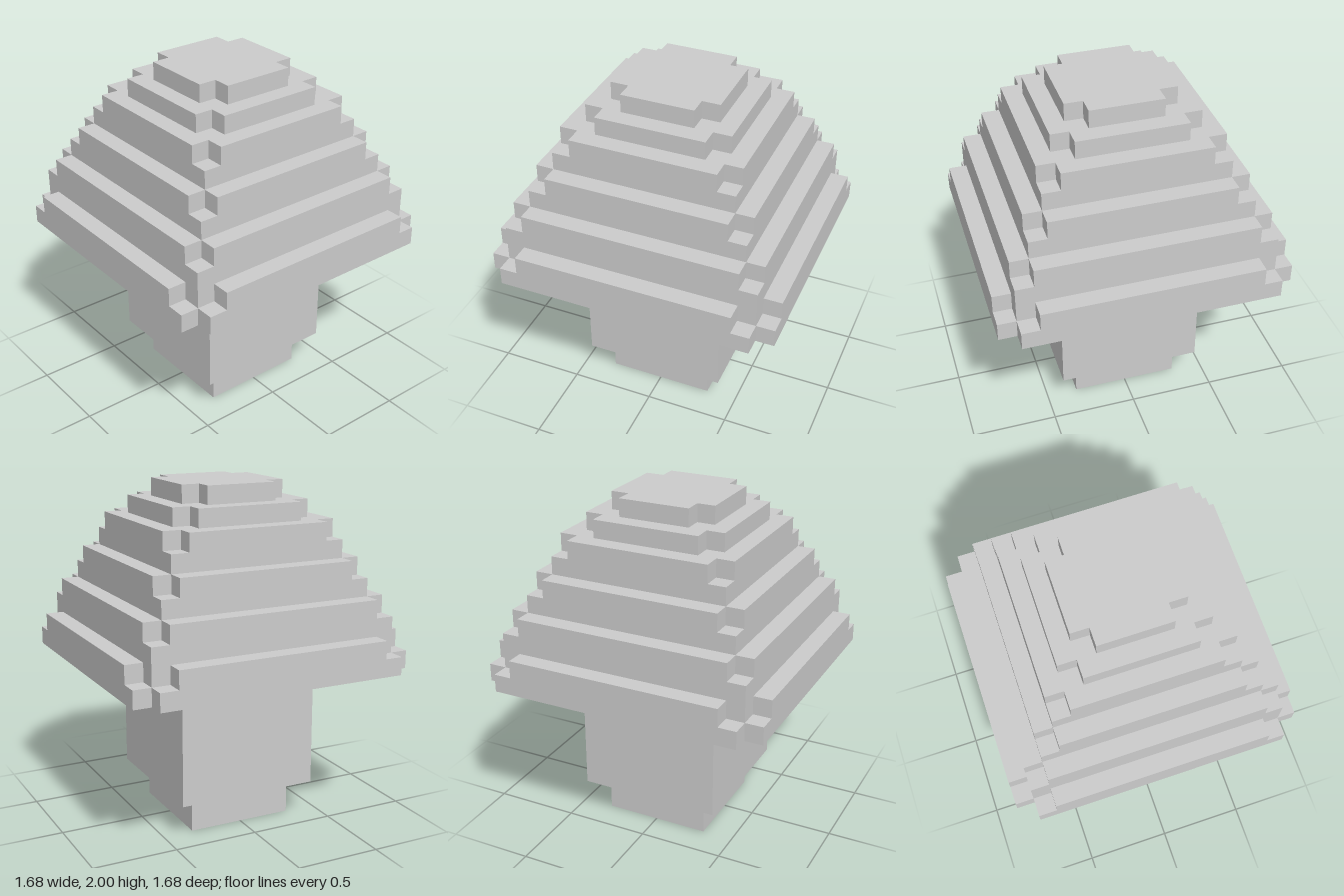
import * as THREE from 'three';

const U = 2 / 19; // one block

// Four-fold symmetric slab: `corner` is the outline of one corner, in blocks, counter-clockwise
function slab(name, bottom, top, corner, material) {
  const points = [];
  for (let quarter = 0; quarter < 4; quarter++) {
    for (let [x, y] of corner) {
      for (let i = 0; i < quarter; i++) [x, y] = [-y, x];
      points.push(new THREE.Vector2(x * U, y * U));
    }
  }
  const geometry = new THREE.ExtrudeGeometry(new THREE.Shape(points), {
    depth: (top - bottom) * U,
    bevelEnabled: false,
  });
  geometry.rotateX(-Math.PI / 2);
  const mesh = new THREE.Mesh(geometry, material);
  mesh.name = name;
  mesh.position.y = bottom * U;
  return mesh;
}

const square = (h) => [[h, h]];
const notched = (h) => [[h, h - 1], [h - 1, h - 1], [h - 1, h]];

export function createModel() {
  const group = new THREE.Group();
  group.name = 'blockMushroom';
  const material = new THREE.MeshStandardMaterial({ color: 0xcccccc, flatShading: true });
  const add = (...args) => group.add(slab(...args, material));

  // Foot and stem
  add('foot', 0, 2, square(3));
  add('stem', 2, 9, square(4));

  // Cap rim, with a double step at each corner of its upper layer
  add('capRimLower', 9, 10, notched(8));
  add('capRimUpper', 10, 11, [[8, 6], [7, 6], [7, 7], [6, 7], [6, 8]]);

  // Cap tiers: a square layer under a notched one
  [7, 6, 5].forEach((half, i) => {
    const y = 11 + 2 * i;
    add(`capTierLower${i + 1}`, y, y + 1, square(half));
    add(`capTierUpper${i + 1}`, y + 1, y + 2, notched(half));
  });

  // Crown of the cap
  add('crownLower', 17, 18, notched(4));
  add('crownTop', 18, 19, notched(3));

  return group;
}
